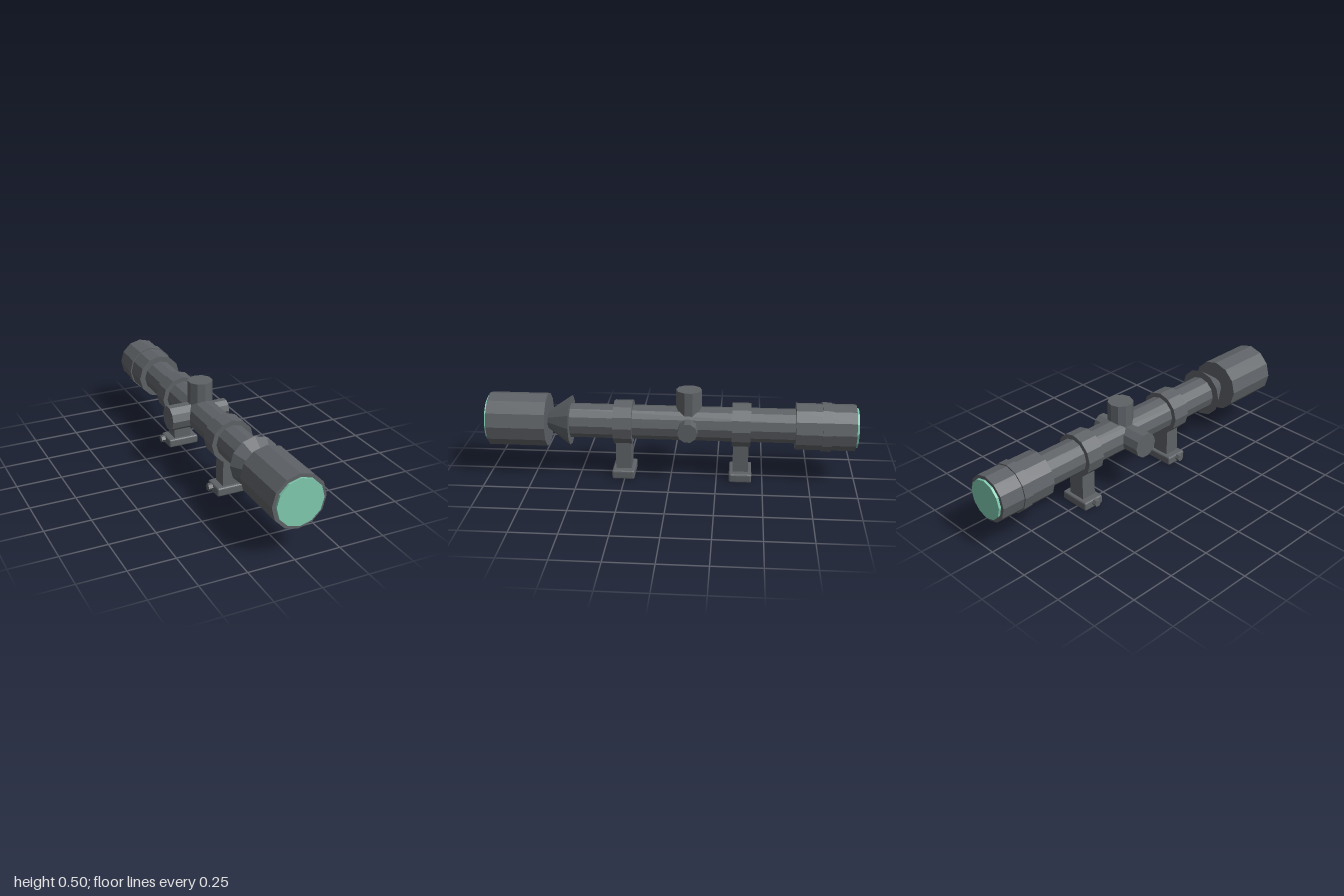
import * as THREE from 'three';
import { RoundedBoxGeometry } from 'three/addons/geometries/RoundedBoxGeometry.js';

const AXIS_X = 0.018, AXIS_Y = 0.307, KNOB_Z = -0.096;

export function createModel() {
  const group = new THREE.Group();
  const metal = new THREE.MeshStandardMaterial({ color: 0x5e6266, flatShading: true });
  metal.name = 'dark grey metal';
  const glass = new THREE.MeshStandardMaterial({ color: 0x7fcaaf, flatShading: true });
  glass.name = 'green glass';

  const add = (name, geometry, material, x, y, z, parent = group) => {
    const mesh = new THREE.Mesh(geometry, material);
    mesh.name = name;
    mesh.position.set(x, y, z);
    parent.add(mesh);
    return mesh;
  };

  // Twelve-sided section along the optical axis, from z0 (back) to z1 (front)
  const barrel = (name, z0, z1, backR, frontR = backR, material = metal) => {
    const g = new THREE.CylinderGeometry(frontR, backR, z1 - z0, 12).rotateX(Math.PI / 2);
    return add(name, g, material, AXIS_X, AXIS_Y, (z0 + z1) / 2);
  };

  // Sideways cylinder from x0 to x1
  const knob = (name, x0, x1, r, sides, y, z, parent = group) => {
    const g = new THREE.CylinderGeometry(r, r, x1 - x0, sides).rotateZ(Math.PI / 2);
    return add(name, g, metal, (x0 + x1) / 2, y, z, parent);
  };

  // Tube, objective and eyepiece
  barrel('mainTube', -0.68, 0.58, 0.094);
  barrel('objectiveCone', 0.545, 0.672, 0.137, 0.047);
  barrel('objectiveBell', 0.67, 0.988, 0.146);
  barrel('frontLens', 0.975, 1, 0.127, 0.127, glass);
  barrel('eyepiece', -0.987, -0.669, 0.127);
  barrel('eyepieceRing', -0.858, -0.808, 0.134);
  barrel('rearLens', -1, -0.975, 0.108, 0.108, glass);

  // Adjustment turrets
  add('topTurret', new THREE.CylinderGeometry(0.069, 0.069, 0.16, 10), metal, AXIS_X, 0.42, KNOB_Z);
  knob('rightTurret', -0.173, -0.04, 0.07, 10, AXIS_Y, KNOB_Z);
  knob('leftTurret', 0.07, 0.172, 0.053, 10, AXIS_Y, KNOB_Z);

  // Two mounts: ring, post, rounded foot and clamp screw
  for (const [name, z] of [['frontMount', 0.257], ['rearMount', -0.38]]) {
    const mount = new THREE.Group();
    mount.name = name;
    group.add(mount);
    mount.add(barrel('mountRing', z - 0.05, z + 0.05, 0.12));
    add('mountPost', new THREE.BoxGeometry(0.1, 0.2, 0.084), metal, AXIS_X, 0.14, z, mount);
    add('mountFoot', new RoundedBoxGeometry(0.179, 0.05, 0.123, 2, 0.01), metal, AXIS_X, 0.025, z, mount);
    knob('clampScrew', -0.103, -0.078, 0.02, 6, 0.039, z, mount);
  }
  return group;
}
